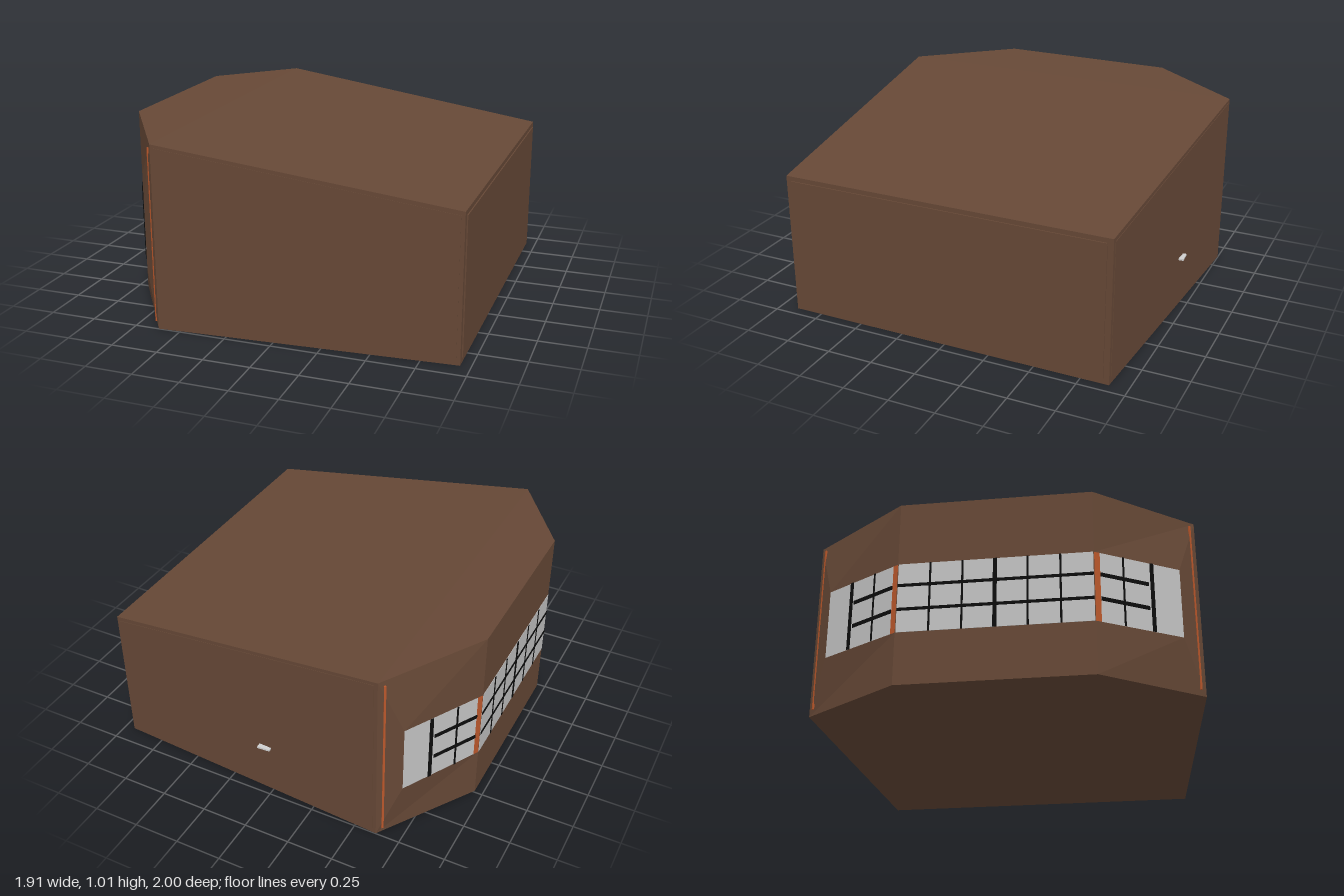
import * as THREE from 'three';

const mat = (name, color) => {
  const m = new THREE.MeshStandardMaterial({ color });
  m.name = name;
  return m;
};

// Flat-shaded surface from four-cornered faces; s = -1 mirrors it across z
function faces(quads, s = 1) {
  const pos = [];
  for (const q of quads) {
    const p = q.map(([x, y, z]) => [x, y, z * s]);
    if (s < 0) p.reverse();
    for (let i = 1; i < p.length - 1; i++) pos.push(...p[0], ...p[i], ...p[i + 1]);
  }
  const g = new THREE.BufferGeometry();
  g.setAttribute('position', new THREE.Float32BufferAttribute(pos, 3));
  g.computeVertexNormals();
  return g;
}

export function createModel() {
  const root = new THREE.Group();
  const brown = mat('brown', 0x664836);
  const glass = mat('paleGlass', 0xc2c2c2);
  const black = mat('blackBars', 0x0c0c0c);
  const orange = mat('orangeTrim', 0xb9572b);
  const grey = mat('lightGrey', 0xcfcfcf);

  const add = (name, geo, material, parent = root) => {
    const m = new THREE.Mesh(geo, material);
    m.name = name;
    parent.add(m);
    return m;
  };
  const bar = (parent, name, material, w, h, x, y, d = 0.004, z = 0.003) =>
    add(name, new THREE.BoxGeometry(w, h, d), material, parent).position.set(x, y, z);

  // Plan corners: end wall, widest point, far wall
  const A = [-0.955, 0.49], B = [-0.62, 0.998], C = [0.946, 0.9];
  const W = [-0.72, 0.905], I = [-0.94, 0.5165];
  const low = 0.28, high = 0.66, topA = 1.01, topB = 0.985, topC = 0.78;
  const at = ([x, z], y) => [x, y, z];
  const opp = ([x, z], y) => [x, y, -z];

  // Floor, roof, end wall and far wall
  add('shell', faces([
    [at(A, 0), opp(A, 0), opp(B, 0), opp(C, 0), at(C, 0), at(B, 0)],
    [at(A, topA), at(B, topB), opp(B, topB), opp(A, topA)],
    [at(B, topB), at(C, topC), opp(C, topC), opp(B, topB)],
    [opp(A, 0), at(A, 0), at(A, topA), opp(A, topA)],
    [at(C, 0), opp(C, 0), opp(C, topC), at(C, topC)],
  ]), brown);

  // Raised panel on the far wall
  add('farWallPanel', new THREE.BoxGeometry(0.006, 0.725, 1.74), brown).position.set(0.949, 0.3925, 0);

  for (const s of [1, -1]) {
    // Long wall, and the angled wall folded out around its window
    add('sideWall', faces([[at(B, 0), at(C, 0), at(C, topC), at(B, topB)]], s), brown);
    add('angledWall', faces([
      [at(A, high), at(W, high), at(B, topB), at(A, topA)],
      [at(A, 0), at(B, 0), at(W, low), at(A, low)],
      [at(W, low), at(B, 0), at(B, topB), at(W, high)],
    ], s), brown);
    add('angledWindow', faces([[at(I, low), at(W, low), at(W, high), at(I, high)]], s), glass);
    add('cornerPost', faces([[at(A, low), at(I, low), at(I, high), at(A, high)]], s), orange);

    // Thin raised panel on the long wall
    const len = Math.hypot(C[0] - B[0], C[1] - B[1]);
    const shape = new THREE.Shape([[0.02, 0.03], [len - 0.02, 0.03], [len - 0.02, topC - 0.02], [0.02, topB - 0.02]]
      .map(([x, y]) => new THREE.Vector2(x * s, y)));
    const panel = add('sidePanel', new THREE.ExtrudeGeometry(shape, { depth: 0.002, bevelEnabled: false }), brown);
    panel.position.set(B[0], 0, B[1] * s);
    panel.rotation.y = Math.atan2(B[1] - C[1], (C[0] - B[0]) * s);

    // Window bars on the angled wall
    const dx = W[0] - A[0], dz = W[1] - A[1], run = Math.hypot(dx, dz);
    const bars = new THREE.Group();
    bars.name = 'angledWindowBars';
    bars.position.set(A[0], 0, A[1] * s);
    bars.rotation.y = Math.atan2(-dz, dx * s);
    root.add(bars);
    const along = x => s * run * (x - A[0]) / dx;
    const mid = (low + high) / 2, tall = high - low;
    bar(bars, 'thinUpright', black, 0.009, tall, along(-0.878), mid);
    bar(bars, 'thickUpright', black, 0.02, tall, along(-0.8), mid);
    for (const y of [0.405, 0.538])
      bar(bars, 'crossBar', black, run * 0.13 / dx, 0.02, along(-0.875), y);

    // Orange strip beside the widest corner
    const strip = add('cornerStrip', new THREE.BoxGeometry(0.011, 0.93, 0.008), orange);
    strip.position.set(-0.645, 0.495, 0.973 * s);
    strip.rotation.y = Math.atan2(-0.69, 0.72 * s);
  }

  // Wide window on the end wall
  const end = new THREE.Group();
  end.name = 'endWindow';
  end.position.x = A[0];
  end.rotation.y = -Math.PI / 2;
  root.add(end);
  const span = 0.972;
  bar(end, 'endGlass', glass, span, 0.38, 0, 0.47, 0.002, 0.001);
  for (let i = 1; i < 6; i++)
    bar(end, 'endUpright', black, i === 3 ? 0.02 : 0.01, 0.38, (i / 6 - 0.5) * span, 0.47);
  for (const y of [0.405, 0.538]) bar(end, 'endCrossBar', black, span, 0.016, 0, y);

  // Small handle on the rear long wall
  const handle = add('handle', new THREE.BoxGeometry(0.07, 0.01, 0.026), grey);
  handle.position.set(0.037, 0.29, -0.969);
  handle.rotation.y = 0.06;
  return root;
}
